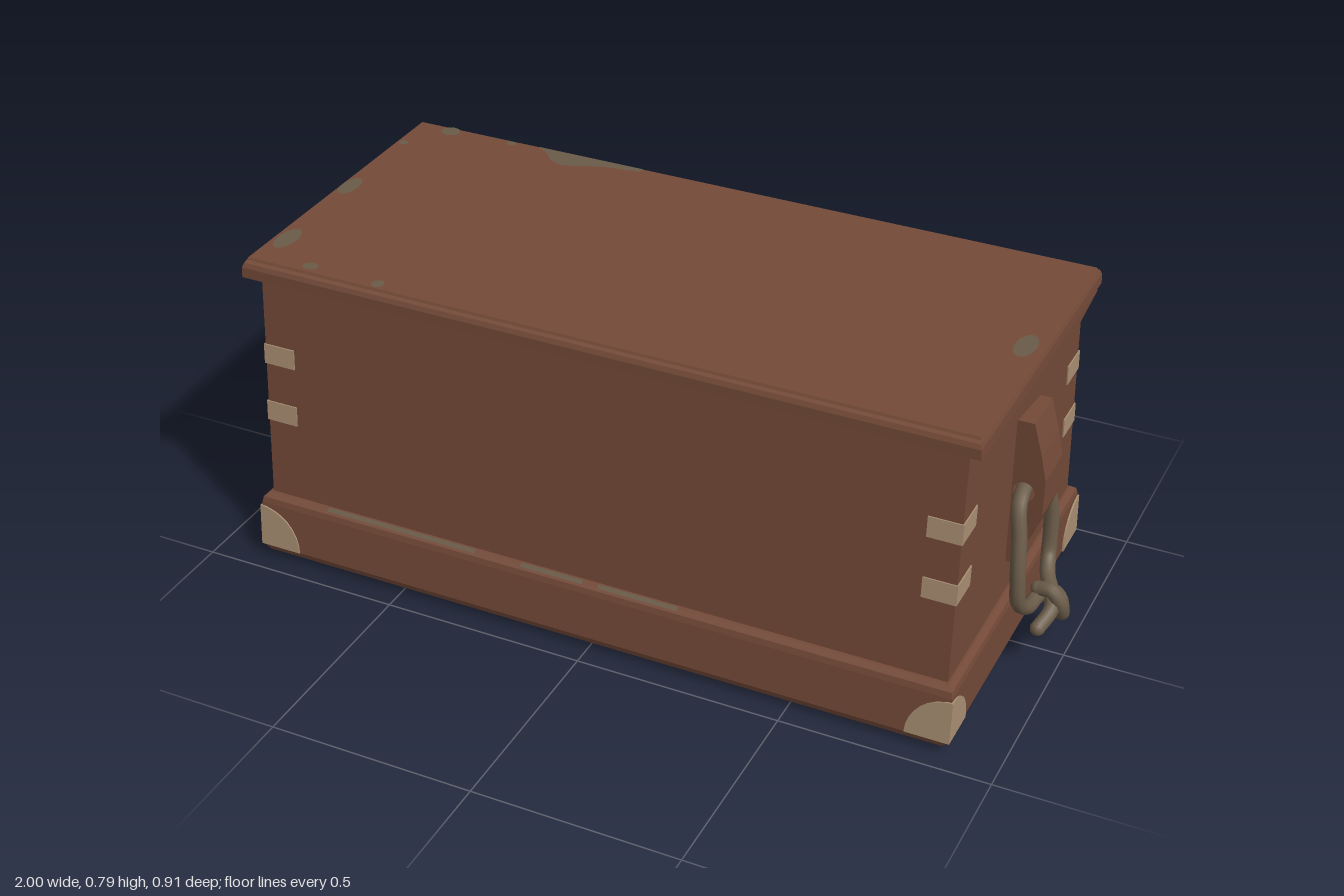
import * as THREE from 'three';

const mat = (name, color) => {
  const m = new THREE.MeshStandardMaterial({ color });
  m.name = name;
  return m;
};

// Solid stacked from rectangles [y, x0, x1, z0, z1], capped at both ends
function loft(sections) {
  const pos = [];
  const rings = sections.map(([y, x0, x1, z0, z1]) =>
    [[x1, y, z1], [x1, y, z0], [x0, y, z0], [x0, y, z1]]);
  const quad = (a, b, c, d) => pos.push(...a, ...b, ...c, ...a, ...c, ...d);
  for (let k = 0; k < rings.length - 1; k++) {
    for (let i = 0; i < 4; i++) {
      const j = (i + 1) % 4;
      quad(rings[k][i], rings[k][j], rings[k + 1][j], rings[k + 1][i]);
    }
  }
  const [a, b, c, d] = rings[0];
  quad(d, c, b, a);
  quad(...rings[rings.length - 1]);
  const g = new THREE.BufferGeometry();
  g.setAttribute('position', new THREE.Float32BufferAttribute(pos, 3));
  g.computeVertexNormals();
  return g;
}

// Centred version: [y, halfX, halfZ]
const centredLoft = rows => loft(rows.map(([y, x, z]) => [y, -x, x, -z, z]));

// Block at one corner: [y, innerX, outerX, innerZ, outerZ], mirrored by sx and sz
const cornerLoft = (rows, sx, sz) => loft(rows.map(([y, xi, xo, zi, zo]) => {
  const x = [xi * sx, xo * sx].sort((p, q) => p - q);
  const z = [zi * sz, zo * sz].sort((p, q) => p - q);
  return [y, ...x, ...z];
}));

export function createModel() {
  const model = new THREE.Group();
  model.name = 'seaChest';
  const wood = mat('wood', 0x744a38);
  const brass = mat('brass', 0xaa9073);
  const rope = mat('rope', 0x6c5d4a);
  const worn = mat('wornPaint', 0x695b48);

  const add = (name, geometry, material, parent = model) => {
    const mesh = new THREE.Mesh(geometry, material);
    mesh.name = name;
    parent.add(mesh);
    return mesh;
  };

  // Tapered body
  const bodyZ = y => 0.418 - (y - 0.17) * 0.066;
  add('body', centredLoft([[0.16, 0.86, bodyZ(0.16)], [0.76, 0.86, bodyZ(0.76)]]), wood);

  // Plinth with a recessed underside
  add('plinth', centredLoft([
    [0.05, 0.83, 0.39], [0.02, 0.83, 0.39], [0.02, 0.865, 0.445], [0.035, 0.88, 0.45],
    [0.15, 0.88, 0.441], [0.165, 0.877, 0.437], [0.175, 0.865, 0.425],
  ]), wood);

  // Lid with a softened edge
  add('lid', centredLoft([
    [0.745, 0.885, 0.402], [0.75, 0.893, 0.41], [0.775, 0.892, 0.409],
    [0.786, 0.888, 0.404], [0.79, 0.886, 0.396], [0.796, 0.883, 0.393],
  ]), wood);

  for (const sz of [1, -1]) {
    // Runners under the long sides
    add('runner', cornerLoft([
      [0.003, -0.855, 0.855, 0.397, 0.423], [0.008, -0.86, 0.86, 0.392, 0.428],
      [0.022, -0.86, 0.86, 0.392, 0.428],
    ], 1, sz), wood);
    // Rubbed strips along the plinth edge
    for (const [x, w] of [[-0.5, 0.2], [-0.1, 0.08], [0.12, 0.1]]) {
      add('plinthWear', cornerLoft([
        [0.17, x - w, x + w, 0.424, 0.433], [0.176, x - w, x + w, 0.424, 0.426],
      ], 1, sz), worn);
    }
  }

  // Brass corner straps and rounded plinth corners
  const R = 0.106;
  for (const sx of [1, -1]) {
    for (const sz of [1, -1]) {
      for (const y of [0.372, 0.522]) {
        const rows = [y, y + 0.05].map(h => [h, 0.782, 0.863, bodyZ(h) - 0.082, bodyZ(h) + 0.003]);
        add('cornerStrap', cornerLoft(rows, sx, sz), brass);
      }
      const rows = [];
      for (let i = 0; i <= 8; i++) {
        const a = i / 8 * Math.PI / 2;
        const y = 0.036 + R * Math.sin(a);
        const r = Math.max(R * Math.cos(a), 0.012);
        const z = 0.453 - (y - 0.036) * 0.075;
        rows.push([y, 0.884 - r, 0.884, z - r, z]);
      }
      add('plinthCorner', cornerLoft(rows, sx, sz), brass);
    }
  }

  for (const s of [1, -1]) {
    const end = new THREE.Group();
    end.name = s > 0 ? 'leftEnd' : 'rightEnd';
    model.add(end);

    // Pointed cleat below the lid
    const tri = new THREE.Shape([[-0.38, 0.75], [0.38, 0.75], [0.38, 0.745], [0, 0.684], [-0.38, 0.745]]
      .map(p => new THREE.Vector2(...p)));
    const cleat = add('lidCleat', new THREE.ExtrudeGeometry(tri, { depth: 0.036, bevelEnabled: false }), wood, end);
    cleat.rotation.y = Math.PI / 2;
    cleat.position.x = s > 0 ? 0.857 : -0.893;

    // Handle bracket pierced for the rope
    const profile = new THREE.Shape([[0.855, 0.64], [0.9, 0.64], [0.922, 0.56], [0.935, 0.5],
      [0.935, 0.41], [0.915, 0.35], [0.872, 0.266], [0.855, 0.266]]
      .map(([x, y]) => new THREE.Vector2(x * s, y)));
    const hole = new THREE.Path();
    hole.absarc(0.888 * s, 0.46, 0.025, 0, Math.PI * 2, true);
    profile.holes.push(hole);
    const bracket = add('handleBracket',
      new THREE.ExtrudeGeometry(profile, { depth: 0.12, bevelEnabled: false, curveSegments: 8 }), wood, end);
    bracket.position.z = -0.06;

    // Knotted rope handle, points as [z, y, x]
    const pts = [
      [0.065, 0.108, 0.95], [0.02, 0.135, 0.965], [-0.02, 0.152, 0.952], [-0.07, 0.165, 0.925],
      [-0.11, 0.195, 0.912], [-0.121, 0.27, 0.908], [-0.11, 0.36, 0.9], [-0.08, 0.435, 0.887],
      [-0.04, 0.456, 0.883], [0.04, 0.456, 0.883], [0.08, 0.435, 0.887], [0.103, 0.36, 0.9],
      [0.116, 0.27, 0.908], [0.106, 0.195, 0.912], [0.065, 0.16, 0.922], [0.0, 0.148, 0.925],
      [-0.055, 0.135, 0.94], [-0.066, 0.11, 0.96], [-0.04, 0.095, 0.975], [-0.01, 0.115, 0.981],
      [0.004, 0.15, 0.979], [0.005, 0.176, 0.958], [0, 0.17, 0.925],
    ].map(([z, y, x]) => new THREE.Vector3(x * s, y, z));
    add('ropeHandle', new THREE.TubeGeometry(new THREE.CatmullRomCurve3(pts), 140, 0.018, 10), rope, end);
    for (const p of [pts[0], pts[pts.length - 1]]) {
      add('ropeEnd', new THREE.SphereGeometry(0.018, 10, 8), rope, end).position.copy(p);
    }
  }

  // Worn patches on the lid: a long chip and small ovals
  const chip = new THREE.Shape([[-0.55, 0.392], [-0.26, 0.392], [-0.265, 0.375], [-0.36, 0.362],
    [-0.45, 0.325], [-0.49, 0.34], [-0.51, 0.365]].map(p => new THREE.Vector2(...p)));
  const chipMesh = add('lidWear', new THREE.ShapeGeometry(chip), worn);
  chipMesh.rotation.x = -Math.PI / 2;
  chipMesh.position.y = 0.7975;
  for (const [x, z, rx, rz] of [[-0.79, -0.375, 0.025, 0.022], [-0.86, -0.01, 0.022, 0.045],
    [-0.85, 0.28, 0.025, 0.05], [0.85, 0.01, 0.025, 0.05], [-0.73, 0.37, 0.02, 0.015],
    [-0.55, 0.375, 0.015, 0.016], [-0.62, -0.38, 0.012, 0.01], [-0.865, -0.27, 0.012, 0.012]]) {
    const spot = add('lidWear', new THREE.CircleGeometry(1, 12), worn);
    spot.scale.set(rx, rz, 1);
    spot.rotation.x = -Math.PI / 2;
    spot.position.set(x, 0.7975, z);
  }
  return model;
}
